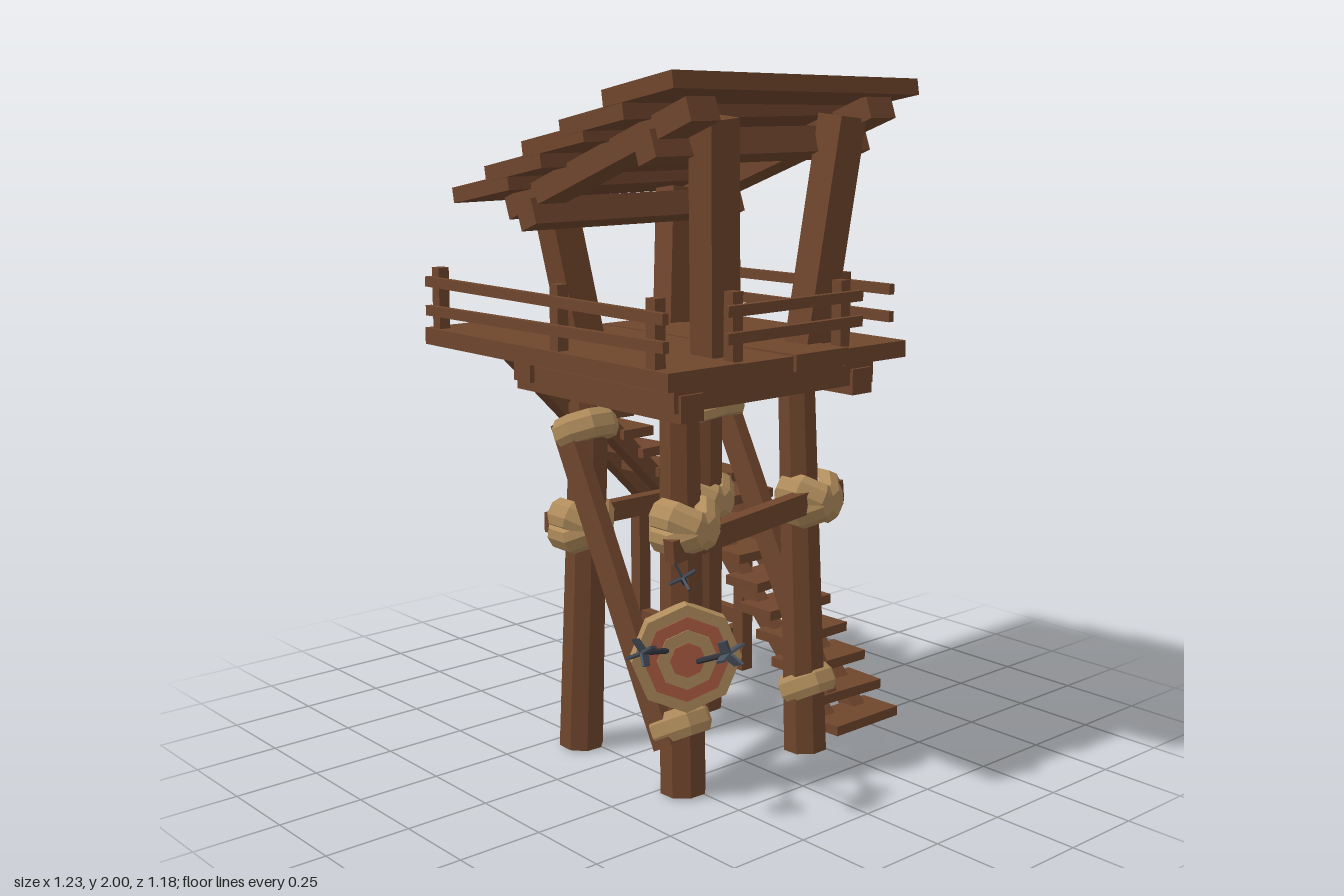
import * as THREE from 'three';

const mat = (name, color) => {
  const m = new THREE.MeshStandardMaterial({ color });
  m.name = name;
  return m;
};

export function createModel() {
  const wood = mat('wood', 0x70462d);
  const rope = mat('rope', 0xb08c5c);
  const red = mat('target red', 0xb05c43);
  const slate = mat('slate fletching', 0x4a525f);
  const dark = mat('dark shaft', 0x33373f);
  const root = new THREE.Group();
  root.name = 'watchtower';
  const V = (x, y, z) => new THREE.Vector3(x, y, z);

  let seed = 7;
  const jit = (a) => {
    seed = (seed * 16807) % 2147483647;
    return (seed / 2147483647 - 0.5) * 2 * a;
  };
  const flat = (g) => {
    const n = g.index ? g.toNonIndexed() : g;
    n.computeVertexNormals();
    return n;
  };
  const add = (name, geo, m, parent = root) => {
    const mesh = new THREE.Mesh(geo, m);
    mesh.name = name;
    parent.add(mesh);
    return mesh;
  };
  // Box by centre and size
  const board = (name, c, s, r = [0, 0, 0]) => {
    const b = add(name, new THREE.BoxGeometry(...s), wood);
    b.position.set(...c);
    b.rotation.set(...r);
    return b;
  };
  // Box running from a to b; steep ones take z as their up axis
  const beam = (name, a, b, w, h, m = wood) => {
    const A = V(...a), B = V(...b), len = A.distanceTo(B);
    const mesh = add(name, new THREE.BoxGeometry(w, h, len), m);
    if (Math.abs(B.y - A.y) > 0.9 * len) mesh.up.set(0, 0, 1);
    mesh.position.copy(A).lerp(B, 0.5);
    mesh.lookAt(B);
    return mesh;
  };

  // Four leaning eight-sided legs
  for (const [x0, x1] of [[-0.17, -0.135], [0.3, 0.262]])
    for (const [z0, z1] of [[0.28, 0.26], [-0.21, -0.19]]) {
      const A = V(x0, 0, z0), B = V(x1, 1.15, z1);
      const g = new THREE.CylinderGeometry(0.057, 0.068, A.distanceTo(B), 8);
      g.rotateY(Math.PI / 8).rotateX(Math.PI / 2);
      const leg = add('leg', flat(g), wood);
      leg.up.set(0, 0, 1);
      leg.position.copy(A).lerp(B, 0.5);
      leg.lookAt(B);
    }

  // Diagonal braces front and back, cross braces on both sides
  for (const z of [0.345, -0.275]) beam('diagonalBrace', [-0.15, 1.01, z], [0.31, 0.15, z], 0.04, 0.085);
  beam('rightBrace', [0.345, 0.725, 0.37], [0.345, 0.795, -0.29], 0.04, 0.065);
  beam('leftBrace', [-0.225, 0.69, 0.35], [-0.225, 0.69, -0.28], 0.04, 0.06);

  // Rope lashings: faceted bands around the joints
  const bandGeo = flat(new THREE.LatheGeometry(
    [[0.05, -0.042], [0.088, -0.042], [0.104, -0.018], [0.104, 0.018], [0.088, 0.042], [0.05, 0.042]]
      .map((p) => new THREE.Vector2(...p)), 8));
  const lash = (x, y, z, rx, rz, s = 1) => {
    const b = add('ropeLashing', bandGeo, rope);
    b.position.set(x, y, z);
    b.rotation.set(rx, Math.PI / 8, rz, 'XZY');
    b.scale.set(s, 1, s);
  };
  for (const [z, d] of [[0.285, 1], [-0.22, -1]]) {
    lash(-0.125, 0.985, z, 0, 0.42, 0.95);
    lash(0.295, 0.2, z, 0, 0.5, 0.87);
    for (const t of [0.55, -0.55]) {
      lash(0.3, 0.775, z - 0.01 * d, t, 0, 1.03);
      lash(-0.165, 0.69, z - 0.01 * d, t, 0, 1.03);
    }
  }

  // Beams under the deck
  for (const z of [0.36, -0.29]) board('deckBeamAcross', [0.065, 1.13, z], [0.73, 0.075, 0.08]);
  for (const x of [-0.255, 0.38]) board('deckBeamLong', [x, 1.16, 0.035], [0.08, 0.08, 0.76]);

  // Deck planks, the front one reaching out to the stairs
  board('deckFrontPlank', [-0.05, 1.225, 0.388], [1.12, 0.05, 0.25]);
  [0.157, -0.05, -0.27].forEach((z, i) =>
    board('deckPlank', [0.085, 1.222 + 0.003 * (i % 2), z], [0.83, 0.048, i === 2 ? 0.25 : 0.205], [0, jit(0.012), 0]));

  // Railings: posts with paired slats
  const railing = (a, b, posts, nx, nz) => {
    for (const t of posts) {
      const p = V(...a).lerp(V(...b), t);
      board('railPost', [p.x, 1.335, p.z], [0.036, 0.195, 0.036]);
    }
    for (const y of [1.31, 1.39])
      beam('railSlat', [a[0] + nx, y + jit(0.01), a[2] + nz], [b[0] + nx, y + jit(0.01), b[2] + nz], 0.02, 0.03);
  };
  railing([-0.59, 0, 0.485], [0.5, 0, 0.485], [0.025, 0.56, 0.935], 0, 0.027);
  railing([-0.2, 0, -0.325], [0.48, 0, -0.325], [0.06, 0.75], 0, -0.027);
  railing([0.455, 0, 0.29], [0.455, 0, -0.22], [0.1, 0.9], 0.027, 0);

  // Roof posts leaning outward
  for (const [z0, z1] of [[0.2, 0.26], [-0.15, -0.22]]) {
    beam('roofPostLow', [-0.235, 1.2, z0], [-0.3, 1.65, z1], 0.085, 0.1);
    beam('roofPostHigh', [0.34, 1.2, z0], [0.4, 1.88, z1], 0.09, 0.1);
  }
  // Rafters, purlins and overlapping roof planks
  for (const z of [0.36, -0.3]) beam('rafter', [-0.32, 1.615, z], [0.47, 1.905, z], 0.1, 0.065);
  for (const [x, y] of [[-0.2, 1.605], [0.32, 1.805]])
    board('purlin', [x, y, 0.03], [0.075, 0.075, 0.8], [0, 0, 0.36]);
  const yaw = [0.025, -0.03, 0.004, -0.02, 0.025];
  for (let i = 0; i < 5; i++)
    board('roofPlank', [-0.345 + 0.179 * i, 1.676 + 0.067 * i, 0.03 + 0.003 * i],
      [0.275, 0.045, 0.92], [i === 4 ? -0.02 : jit(0.012), yaw[i] * 0.6, 0.18]);

  // Stair landing: posts, planks and cross bars
  for (const [x, z, h] of [[-0.585, -0.55, 0.77], [-0.34, -0.55, 0.77], [-0.585, -0.302, 0.74], [-0.34, -0.302, 0.66]])
    board('landingPost', [x, h / 2, z], [0.046, h, 0.046]);
  for (const z of [-0.523, -0.43, -0.34])
    board('landingPlank', [-0.465, 0.685, z], [0.28, 0.03, 0.085], [0, jit(0.01), 0]);
  for (const z of [-0.55, -0.302]) {
    board('landingBar', [-0.463, 0.64, z], [0.26, 0.05, 0.03]);
    board('landingLowBar', [-0.463, 0.183, z], [0.26, 0.052, 0.035]);
  }
  for (const x of [-0.535, -0.39]) board('landingLowTie', [x, 0.118, -0.426], [0.04, 0.045, 0.28]);

  // Upper stairs from landing to deck
  for (const x of [-0.543, -0.38]) beam('upperStringer', [x, 0.565, -0.345], [x, 1.17, 0.26], 0.066, 0.05);
  for (let i = 0; i < 7; i++)
    board('upperStep', [-0.465 + jit(0.008), 0.745 + 0.0725 * i, -0.225 + 0.0725 * i],
      [0.275, 0.03, 0.125], [jit(0.02), jit(0.06), jit(0.03)]);

  // Lower stairs from ground to landing
  for (const z of [-0.36, -0.495]) beam('lowerStringer', [0.245, 0.025, z], [-0.335, 0.61, z], 0.05, 0.05);
  for (let i = 0; i < 9; i++)
    board('lowerStep', [0.275 - 0.072 * i, 0.035 + 0.075 * i, -0.435 + jit(0.008)],
      [0.14, 0.03, 0.275], [jit(0.03), jit(0.06), jit(0.02)]);

  // Eight-sided target with painted rings
  const target = new THREE.Group();
  target.name = 'target';
  target.position.set(0.345, 0.415, 0.31);
  target.rotation.y = Math.PI / 3;
  root.add(target);
  const disc = (name, r, h, z, m) => {
    const g = new THREE.CylinderGeometry(r, r, h, 8).rotateX(Math.PI / 2);
    add(name, flat(g), m, target).position.z = z;
  };
  disc('targetBoard', 0.155, 0.045, 0, rope);
  [[0.122, red], [0.086, rope], [0.05, red]].forEach(([r, m], i) =>
    disc('targetRing', r, 0.004, 0.0235 + 0.003 * i, m));

  // Arrows with swept, crossed vanes
  const vane = new THREE.Shape([[0, 0], [0.038, 0.03], [0.038, 0.08], [0, 0.055],
    [-0.038, 0.08], [-0.038, 0.03]].map((p) => new THREE.Vector2(...p)));
  const vaneGeo = new THREE.ExtrudeGeometry(vane, { depth: 0.007, bevelEnabled: false });
  vaneGeo.translate(0, 0, -0.0035).rotateX(Math.PI / 2);
  const arrow = (tip, tail) => {
    const A = V(...tip), B = V(...tail), len = A.distanceTo(B);
    const g = new THREE.Group();
    g.name = 'arrow';
    g.position.copy(A);
    g.lookAt(B);
    root.add(g);
    const shaft = new THREE.CylinderGeometry(0.008, 0.008, len, 6).rotateX(Math.PI / 2);
    add('arrowShaft', flat(shaft), dark, g).position.z = len / 2;
    for (const a of [0.5, 0.5 + Math.PI / 2]) {
      const v = add('arrowVane', vaneGeo, slate, g);
      v.position.z = len - 0.045;
      v.rotation.z = a;
    }
  };
  arrow([0.31, 0.61, 0.28], [0.475, 0.695, 0.435]);
  arrow([0.33, 0.44, 0.36], [0.44, 0.505, 0.545]);
  arrow([0.35, 0.395, 0.29], [0.565, 0.49, 0.35]);

  return root;
}
